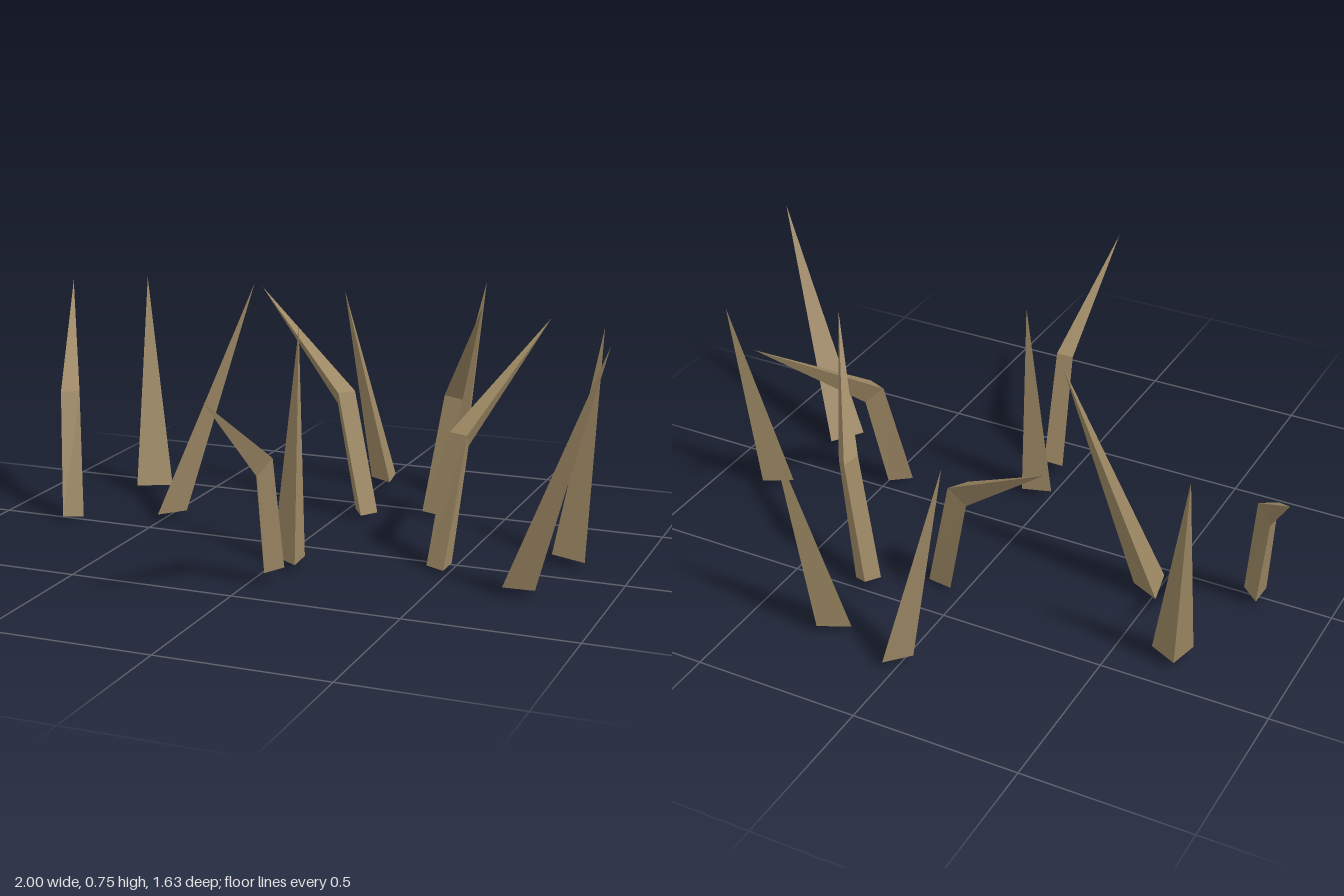
import * as THREE from 'three';

const v = (p) => new THREE.Vector3(...p);

// Ridge point of a triangular section: out from the middle of edge a-b, on the side of the target
function ridge(a, b, target, depth, drop) {
  const mid = a.clone().add(b).multiplyScalar(0.5);
  const out = new THREE.Vector3(b.z - a.z, 0, a.x - b.x).normalize();
  if (out.dot(target.clone().sub(mid)) < 0) out.negate();
  mid.addScaledVector(out, depth);
  mid.y -= drop;
  return mid;
}

// Triangular sections joined bottom to top and closed in a point
function spikeGeometry(sections, tip) {
  const [a, b, c] = sections[0];
  const up = b.clone().sub(a).cross(c.clone().sub(a)).y;
  const rings = sections.map(([p, q, r]) => (up > 0 ? [p, q, r] : [q, p, r]));
  const tris = [rings[0][2], rings[0][1], rings[0][0]];
  rings.forEach((ring, k) => {
    const next = rings[k + 1];
    for (let i = 0; i < 3; i++) {
      const j = (i + 1) % 3;
      if (next) tris.push(ring[i], ring[j], next[j], ring[i], next[j], next[i]);
      else tris.push(ring[i], ring[j], tip);
    }
  });
  const geometry = new THREE.BufferGeometry().setFromPoints(tris);
  geometry.computeVertexNormals();
  return geometry;
}

// Straight spikes: two base corners (x, z) and the tip (x, y, z)
const STRAIGHT = [
  [[0.03, -0.795], [0.048, -0.685], [-0.12, 0.66, -0.70]],
  [[0.19, -0.695], [0.30, -0.64], [0.325, 0.70, -0.825]],
  [[-0.605, -0.385], [-0.71, -0.335], [-0.745, 0.695, -0.51]],
  [[0.75, -0.13], [0.86, -0.085], [0.85, 0.69, -0.27]],
  [[0.765, 0.12], [0.70, 0.215], [1.0, 0.755, 0.295]],
  [[-0.525, -0.18], [-0.50, -0.06], [-0.235, 0.755, -0.22]],
  [[-0.005, 0.185], [0.09, 0.25], [0.05, 0.70, 0.12]],
];

// Bent spikes: two base corners, the same two at the bend, the tip, ridge drop at base and bend
const BENT = [
  [[-0.785, 0.017, 0.035], [-0.725, 0.017, 0.01], [-0.835, 0.395, -0.065], [-0.785, 0.395, -0.095],
    [-1.0, 0.675, -0.47], 0, 0.045],
  [[0.26, 0.04, -0.505], [0.245, 0.02, -0.44], [0.33, 0.41, -0.475], [0.32, 0.41, -0.415],
    [0.50, 0.735, -0.20], 0.025, 0.015],
  [[0.02, 0.043, 0.315], [0.085, 0.043, 0.315], [0.035, 0.39, 0.41], [0.09, 0.39, 0.41],
    [0.065, 0.635, 0.81], 0, 0.045],
  [[0.08, 0.018, -0.325], [0.115, 0.018, -0.38], [-0.015, 0.395, -0.37], [0.02, 0.395, -0.425],
    [-0.38, 0.67, -0.62], 0, 0.045],
  [[0.49, 0.017, 0.10], [0.43, 0.017, 0.07], [0.52, 0.395, -0.01], [0.46, 0.395, -0.035],
    [0.65, 0.675, -0.42], 0, 0.045],
];

export function createModel() {
  const group = new THREE.Group();
  group.name = 'spikes';
  const dryWood = new THREE.MeshStandardMaterial({ color: 0x9c8763 });
  const add = (name, geometry) => {
    const mesh = new THREE.Mesh(geometry, dryWood);
    mesh.name = name;
    group.add(mesh);
  };

  STRAIGHT.forEach(([p, q, t], i) => {
    const a = v([p[0], 0.03, p[1]]), b = v([q[0], 0.03, q[1]]), tip = v(t);
    const section = [a, b, ridge(a, b, tip, a.distanceTo(b) * 0.64, 0)];
    add(`straightSpike${i + 1}`, spikeGeometry([section], tip));
  });

  BENT.forEach(([p, q, r, s, t, baseDrop, bendDrop], i) => {
    const [a, b, c, d, tip] = [p, q, r, s, t].map(v);
    const base = [a, b, ridge(a, b, tip, 0.07, baseDrop)];
    const bend = [c, d, ridge(c, d, tip, 0.047, bendDrop)];
    add(`bentSpike${i + 1}`, spikeGeometry([base, bend], tip));
  });

  return group;
}
